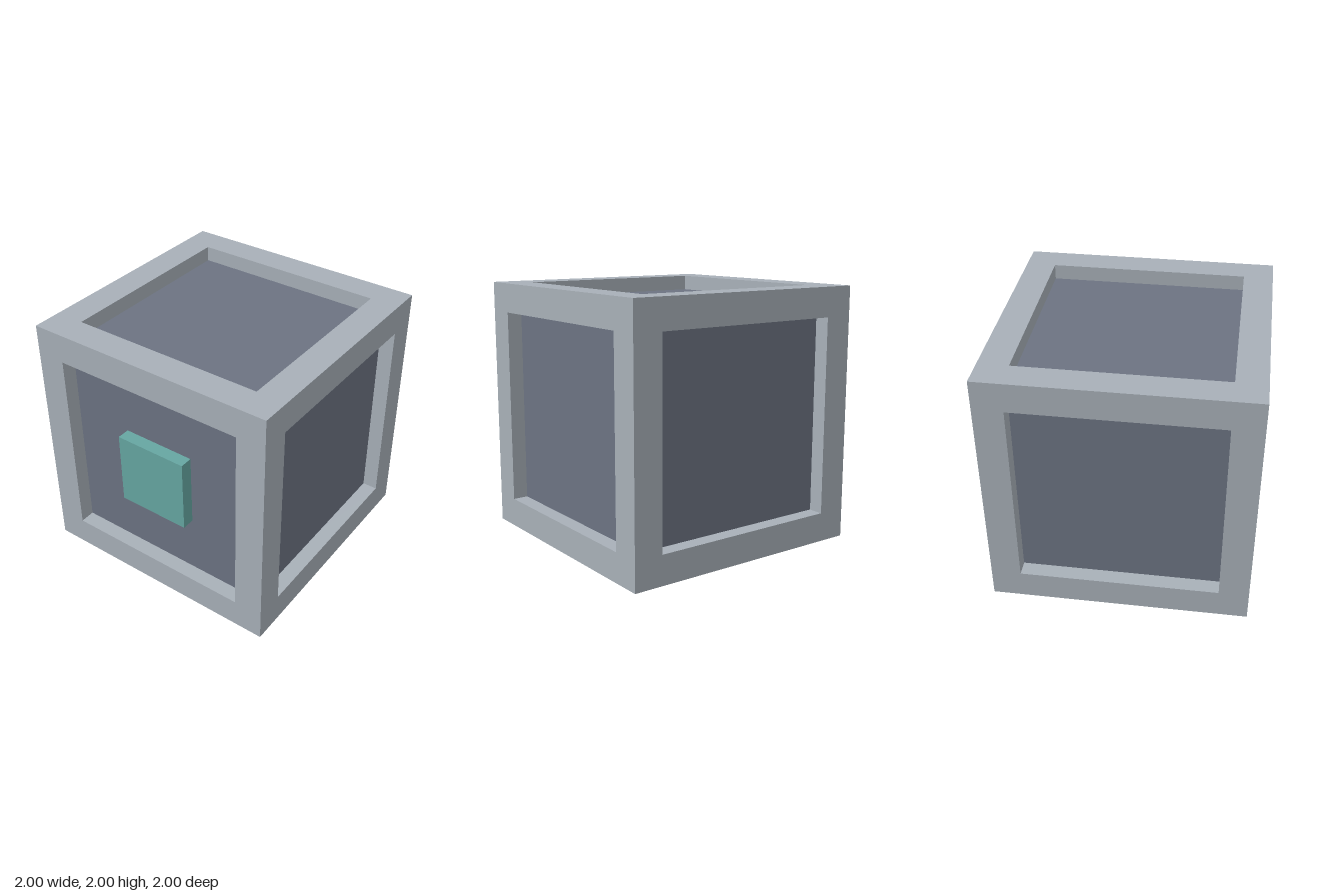
import * as THREE from 'three';

export function createModel() {
  const model = new THREE.Group();
  model.name = 'framedCube';

  const material = (name, color) => {
    const m = new THREE.MeshStandardMaterial({ color });
    m.name = name;
    return m;
  };
  const frameGrey = material('frame grey', 0xa8b0b8);
  const panelSlate = material('panel slate', 0x6c7382);
  const plateTeal = material('plate teal', 0x66a6a2);

  const addBox = (name, mat, size, position, parent = model) => {
    const mesh = new THREE.Mesh(new THREE.BoxGeometry(...size), mat);
    mesh.name = name;
    mesh.position.set(...position);
    parent.add(mesh);
  };

  const bar = 0.23; // frame bar thickness
  const span = 2 - 2 * bar; // opening between bars
  const c = 1 - bar / 2; // bar centre offset
  const panel = 0.88; // half size of the recessed core

  // Frame: four full-height posts with rails fitted between them
  const frame = new THREE.Group();
  frame.name = 'frame';
  model.add(frame);
  for (const a of [-c, c]) {
    for (const b of [-c, c]) {
      addBox('post', frameGrey, [bar, 2, bar], [a, 1, b], frame);
      addBox('crossRail', frameGrey, [span, bar, bar], [0, 1 + a, b], frame);
      addBox('sideRail', frameGrey, [bar, bar, span], [a, 1 + b, 0], frame);
    }
  }

  // Core whose six faces form the recessed panels
  addBox('panelCore', panelSlate, [2 * panel, 2 * panel, 2 * panel], [0, 1, 0]);

  // Raised square plate on the front panel
  addBox('frontPlate', plateTeal, [0.585, 0.585, 0.1], [0, 1, panel + 0.05]);

  return model;
}
